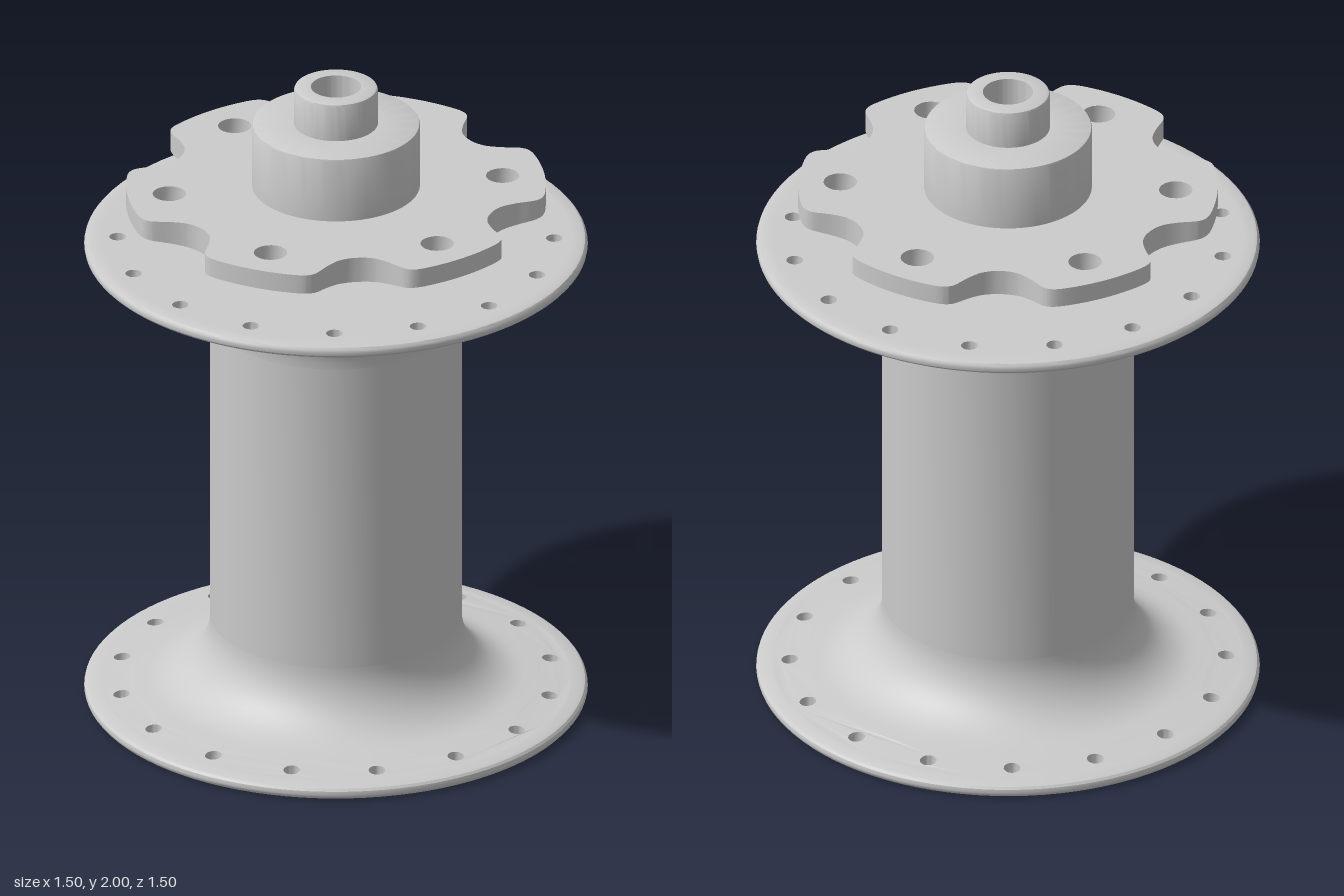
import * as THREE from 'three';
import { toCreasedNormals } from 'three/addons/utils/BufferGeometryUtils.js';

const SEG = 96;
const material = new THREE.MeshStandardMaterial({ color: 0xcccccc });
const V = (x, y) => new THREE.Vector2(x, y);

function add(parent, name, geometry) {
  const mesh = new THREE.Mesh(geometry, material);
  mesh.name = name;
  parent.add(mesh);
  return mesh;
}

// Turned part from [radius, height] pairs
function turned(points) {
  const g = new THREE.LatheGeometry(points.map(([r, y]) => V(r, y)), SEG);
  return toCreasedNormals(g, 0.5);
}

// Closed ring of points in the x-z plane
function ring(r, n = SEG, cx = 0, cz = 0) {
  return Array.from({ length: n + 1 }, (_, i) => {
    const a = (i / n) * Math.PI * 2;
    return V(cx + r * Math.sin(a), cz + r * Math.cos(a));
  });
}

// Rings evenly spaced round the axis
function holeRings(count, circle, r, offset = 0) {
  return Array.from({ length: count }, (_, i) => {
    const a = offset + (i / count) * Math.PI * 2;
    return ring(r, 20, circle * Math.sin(a), circle * Math.cos(a));
  });
}

// Pierced face laid level, its height given by radius
function face(outline, holes, height, up) {
  const shape = new THREE.Shape(outline.slice(0, -1));
  shape.holes = holes.map((h) => new THREE.Path(h.slice(0, -1)));
  const g = new THREE.ShapeGeometry(shape);
  const p = g.attributes.position;
  for (let i = 0; i < p.count; i++) {
    const x = p.getX(i), z = p.getY(i);
    p.setXYZ(i, x, height(Math.hypot(x, z)), z);
  }
  if (up) g.index.array.reverse();
  g.computeVertexNormals();
  return g;
}

// Upright wall along a ring, between two heights given by radius
function wall(points, low, high, inward) {
  const path = inward ? [...points].reverse() : points;
  const n = path.length;
  const g = new THREE.PlaneGeometry(1, 1, n - 1, 1);
  const p = g.attributes.position;
  for (let i = 0; i < n; i++) {
    const { x, y: z } = path[i];
    const r = Math.hypot(x, z);
    p.setXYZ(i, x, high(r), z);
    p.setXYZ(i + n, x, low(r), z);
  }
  g.computeVertexNormals();
  return toCreasedNormals(g, 0.7);
}

// Spoke flange with its outer face on y = 0 and a fillet rising to the barrel
function makeFlange(name, innerRadius, offset) {
  const group = new THREE.Group();
  group.name = name;
  const flat = () => 0;
  const slope = (r) => 0.0365 + (0.75 - r) * 0.1;
  const holes = holeRings(16, 0.65, 0.025, offset);

  add(group, 'flangeDisc', turned([[innerRadius, 0], [0.6, 0]]));
  add(group, 'flangeRim', turned([
    [0.7, 0], [0.733, 0], [0.742, 0.003], [0.748, 0.01], [0.75, 0.018],
    [0.748, 0.028], [0.742, 0.035], [0.733, slope(0.733)], [0.7, slope(0.7)],
  ]));
  add(group, 'flangeOuterFace', face(ring(0.7), [ring(0.6), ...holes], flat, false));
  add(group, 'flangeInnerFace', face(ring(0.7), [ring(0.6), ...holes], slope, true));
  holes.forEach((h) => add(group, 'spokeHole', wall(h, flat, slope, true)));

  const fillet = [[0.6, slope(0.6)]];
  for (let i = 0; i <= 14; i++) {
    const a = 0.1 + (i / 14) * (Math.PI / 2 - 0.1);
    fillet.push([0.575 - 0.2 * Math.sin(a), 0.255 - 0.2 * Math.cos(a)]);
  }
  add(group, 'flangeFillet', turned(fillet));
  return group;
}

// Six-lobed outline of the disc mount
function lobedOutline() {
  const half = [[6, 0.625], [12, 0.625], [15, 0.621], [16.8, 0.61], [18, 0.593],
    [20, 0.557], [22, 0.532], [24, 0.515], [27, 0.503]];
  const lobe = [[0, 0.625], ...half, [30, 0.5],
    ...[...half].reverse().map(([a, r]) => [60 - a, r])];
  const points = [];
  for (let k = 0; k < 6; k++) {
    for (const [a, r] of lobe) {
      const t = THREE.MathUtils.degToRad(a + k * 60);
      points.push(V(r * Math.sin(t), r * Math.cos(t)));
    }
  }
  points.push(points[0].clone());
  return new THREE.SplineCurve(points).getPoints(360);
}

function makeDiscMount() {
  const group = new THREE.Group();
  group.name = 'discMount';
  const top = () => 1.675;
  const under = (r) => 1.555 + (r - 0.25) * 0.16;
  const outline = lobedOutline();
  const bolts = holeRings(6, 0.5, 0.05);

  add(group, 'mountTop', face(outline, [ring(0.25), ...bolts], top, true));
  add(group, 'mountUnderside', face(outline, [ring(0.44), ...bolts], under, false));
  add(group, 'mountUndersideCone', turned([[0.25, under(0.25)], [0.44, under(0.44)]]));
  add(group, 'mountEdge', wall(outline, under, top, false));
  bolts.forEach((b) => add(group, 'boltHole', wall(b, under, top, true)));
  return group;
}

export function createModel() {
  const model = new THREE.Group();
  model.name = 'wheelHub';

  // Barrel and the two flanges, their spoke holes staggered by half a step
  add(model, 'barrel', turned([[0.375, 0.255], [0.375, 1.245]]));
  model.add(makeFlange('lowerFlange', 0.075, Math.PI / 16));
  const upper = makeFlange('upperFlange', 0.25, 0);
  upper.rotation.x = Math.PI;
  upper.position.y = 1.5;
  model.add(upper);

  // Disc mount on its neck, with the collar above
  add(model, 'neck', turned([[0.25, 1.5], [0.25, 1.555]]));
  model.add(makeDiscMount());
  add(model, 'collar', turned([
    [0.25, 1.675], [0.25, 1.873], [0.248, 1.878], [0.243, 1.88], [0.125, 1.88],
  ]));

  // Hollow axle
  add(model, 'axleEnd', turned([
    [0.125, 1.88], [0.125, 1.99], [0.122, 1.997], [0.115, 2], [0.075, 2],
  ]));
  add(model, 'axleBore', turned([[0.075, 2], [0.075, 0]]));

  return model;
}
